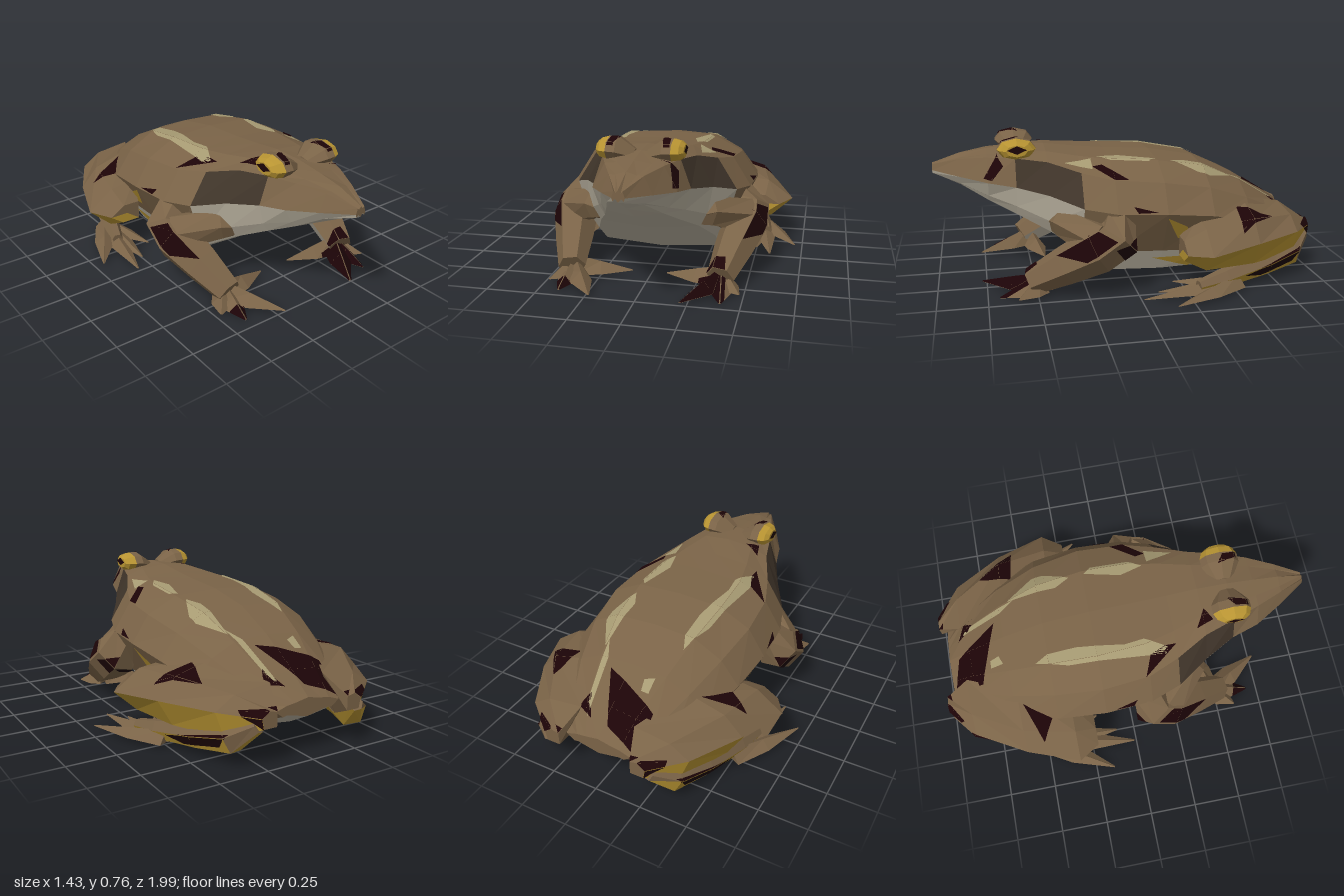
import * as THREE from 'three';

const flat = (name, color) => Object.assign(new THREE.MeshStandardMaterial({ color }), { name });
const MATS = [
  flat('skinBrown', 0x7a6347), flat('shadeBrown', 0x40352a), flat('spotMaroon', 0x1c0407),
  flat('legYellow', 0xb89432), flat('stripeTan', 0xa69a72), flat('bellyGrey', 0xb8b09e),
];
const [BROWN, SHADE, SPOT, YELLOW, TAN, GREY] = [0, 1, 2, 3, 4, 5];
const V = (x, y, z) => new THREE.Vector3(x, y, z);
const normalOf = ([a, b, c]) => b.clone().sub(a).cross(c.clone().sub(a)).normalize();

// Skin a row of equal rings and cap both ends; colour(i, j, normal) picks the material
function loft(rings, colour) {
  const tris = [], n = rings[0].length;
  const add = (a, b, c, i, j) => tris.push({ p: [a, b, c], i, j });
  for (let i = 0; i < rings.length - 1; i++) {
    for (let j = 0; j < n; j++) {
      const k = (j + 1) % n, A = rings[i], B = rings[i + 1];
      add(A[j], A[k], B[j], i, j);
      add(A[k], B[k], B[j], i, j);
    }
  }
  [0, rings.length - 1].forEach((r) => {
    const mid = rings[r].reduce((s, p) => s.add(p), V(0, 0, 0)).divideScalar(n);
    for (let j = 0; j < n; j++) {
      const k = (j + 1) % n, R = rings[r];
      r ? add(R[j], R[k], mid, r, j) : add(R[k], R[j], mid, 0, j);
    }
  });
  // turn the skin outwards
  const volume = tris.reduce((s, t) => s + t.p[0].dot(t.p[1].clone().cross(t.p[2])), 0);
  tris.forEach((t) => {
    if (volume < 0) t.p.reverse();
    t.m = colour(t.i, t.j, normalOf(t.p));
  });
  return tris;
}

// Tapered limb along [x, y, z, radius] stations
function limb(side, path, sides, colour) {
  const pts = path.map((p) => V(p[0] * side, p[1], p[2]));
  return loft(pts.map((c, i) => {
    const t = pts[Math.min(i + 1, pts.length - 1)].clone().sub(pts[Math.max(i - 1, 0)]).normalize();
    const b = V(1, 0, 0).addScaledVector(t, -t.x).normalize(), n = t.clone().cross(b);
    return Array.from({ length: sides }, (_, j) => {
      const a = (j / sides) * Math.PI * 2, r = path[i][3];
      return c.clone().addScaledVector(b, Math.cos(a) * r).addScaledVector(n, Math.sin(a) * r);
    });
  }), colour);
}

// Pointed toes fanning from a wrist or ankle
function toes(side, base, tips, width, height, sole) {
  return tips.flatMap((tip) => {
    const b = V(base[0] * side, base[1], base[2]), e = V(tip[0] * side, tip[1], tip[2]);
    const d = e.clone().sub(b).setY(0).normalize(), across = V(d.z, 0, -d.x);
    const ring = (c, w, h) => [
      c.clone().addScaledVector(across, w), c.clone().add(V(0, h, 0)), c.clone().addScaledVector(across, -w)];
    const rings = [ring(b, width, height), ring(b.clone().lerp(e, 0.45), width, height * 0.6), ring(e, 0.004, 0.004)];
    return loft(rings, (i, j, n) => (n.y < -0.2 ? sole : BROWN));
  });
}

// Thin painted patch: the part's faces clipped to a convex outline.
// axis 'y' uses (x, z) seen from above; axis 'x' uses (z, y) seen from the given side.
function patch(tris, axis, sign, outline, m) {
  const dir = axis === 'y' ? V(0, 1, 0) : V(sign, 0, 0);
  const uv = axis === 'y' ? (p) => [p.x, p.z] : (p) => [p.z, p.y];
  const n = outline.length;
  const area = outline.reduce((s, a, i) => {
    const b = outline[(i + 1) % n];
    return s + a[0] * b[1] - a[1] * b[0];
  }, 0);
  const loop = area < 0 ? [...outline].reverse() : outline;
  const out = [];
  tris.forEach((t) => {
    const normal = normalOf(t.p);
    if (!(normal.dot(dir) > 0.04)) return;
    let poly = t.p;
    loop.forEach((a, i) => {
      const b = loop[(i + 1) % n], next = [];
      const dist = (p) => {
        const [u, v] = uv(p);
        return (b[0] - a[0]) * (v - a[1]) - (b[1] - a[1]) * (u - a[0]);
      };
      poly.forEach((p, k) => {
        const q = poly[(k + 1) % poly.length], dp = dist(p), dq = dist(q);
        if (dp >= 0) next.push(p);
        if (dp * dq < 0) next.push(p.clone().lerp(q, dp / (dp - dq)));
      });
      poly = next;
    });
    const up = poly.map((p) => p.clone().addScaledVector(normal, 0.004));
    for (let k = 1; k < up.length - 1; k++) out.push({ p: [up[0], up[k], up[k + 1]], m });
  });
  return out;
}

function mesh(name, tris) {
  const geo = new THREE.BufferGeometry(), used = [...new Set(tris.map((t) => t.m))], pos = [];
  used.forEach((m, i) => {
    const start = pos.length / 3;
    tris.filter((t) => t.m === m).forEach((t) => t.p.forEach((p) => pos.push(p.x, p.y, p.z)));
    geo.addGroup(start, pos.length / 3 - start, i);
  });
  geo.setAttribute('position', new THREE.Float32BufferAttribute(pos, 3));
  geo.computeVertexNormals();
  const part = new THREE.Mesh(geo, used.map((m) => MATS[m]));
  part.name = name;
  return part;
}

// Body stations: z, top, shoulder x y, side x y, low x y, bottom
const BODY = [
  [1.0, 0.625, 0.02, 0.62, 0.03, 0.59, 0.025, 0.575, 0.57],
  [0.86, 0.67, 0.08, 0.655, 0.12, 0.57, 0.09, 0.53, 0.5],
  [0.72, 0.69, 0.14, 0.67, 0.2, 0.55, 0.16, 0.475, 0.42],
  [0.58, 0.705, 0.19, 0.67, 0.24, 0.53, 0.215, 0.425, 0.35],
  [0.42, 0.705, 0.24, 0.655, 0.32, 0.5, 0.295, 0.36, 0.27],
  [0.26, 0.685, 0.32, 0.61, 0.42, 0.45, 0.365, 0.27, 0.17],
  [0.1, 0.67, 0.38, 0.58, 0.475, 0.43, 0.37, 0.2, 0.06],
  [-0.15, 0.655, 0.4, 0.56, 0.49, 0.42, 0.37, 0.19, 0.05],
  [-0.4, 0.61, 0.37, 0.515, 0.465, 0.39, 0.36, 0.18, 0.055],
  [-0.62, 0.51, 0.31, 0.435, 0.4, 0.33, 0.33, 0.18, 0.08],
  [-0.82, 0.385, 0.23, 0.34, 0.31, 0.27, 0.25, 0.18, 0.13],
  [-0.95, 0.29, 0.12, 0.27, 0.18, 0.25, 0.14, 0.22, 0.2],
];
const STRIPES = [
  [[-0.2, -0.47], [-0.17, -0.4], [-0.17, -0.25], [-0.21, 0], [-0.27, -0.05], [-0.25, -0.3]],
  [[-0.27, -0.05], [-0.21, 0], [-0.2, 0.1], [-0.26, 0.22], [-0.29, 0.2]],
  [[0.19, -0.57], [0.28, -0.42], [0.28, -0.36], [0.22, -0.22], [0.18, -0.3]],
  [[0.22, -0.14], [0.25, -0.1], [0.24, 0.1], [0.2, 0.17], [0.17, 0.05]],
  [[0.1, -0.88], [0.14, -0.8], [0.19, -0.53], [0.14, -0.62]],
  [[0.22, 0.2], [0.3, 0.2], [0.25, 0.34]],
  [[-0.14, -0.71], [-0.1, -0.71], [-0.09, -0.66], [-0.14, -0.64]],
];
const BACK_SPOTS = [
  [[-0.2, -0.94], [-0.02, -0.89], [0.1, -0.66], [-0.2, -0.77]],
  [[0.08, -0.88], [0.17, -0.84], [0.14, -0.78]],
  [[-0.38, 0.08], [-0.28, 0.12], [-0.25, 0.2], [-0.25, 0.26]],
  [[0.38, 0.03], [0.38, 0.1], [0.28, 0.2], [0.27, 0.15]],
  [[-0.2, 0.38], [-0.11, 0.43], [-0.17, 0.47]],
];
const CHEEK_SPOT = [[0.74, 0.57], [0.67, 0.68], [0.64, 0.63], [0.7, 0.56]];
const FLANK_SPOT = [[0.02, 0.46], [-0.1, 0.43], [0, 0.43]];
const GROIN = [
  [[-0.15, 0.4], [-0.26, 0.34], [-0.28, 0.26], [-0.22, 0.27]],
  [[-0.1, 0.15], [-0.42, 0.15], [-0.3, 0.08]],
];

export function createModel() {
  const frog = new THREE.Group();
  frog.name = 'frog';

  // Head and trunk
  const body = loft(BODY.map(([z, top, sx, sy, wx, wy, lx, ly, bot]) => {
    const half = [[0, top], [sx * 0.6, top - 0.014], [sx, sy], [wx, wy], [lx, ly], [lx * 0.86, bot + 0.025], [0, bot]];
    return [...half, ...half.slice(1, 6).reverse().map(([x, y]) => [-x, y])].map(([x, y]) => V(x, y, z));
  }), (i, j, n) => {
    const row = j < 6 ? j : 11 - j;
    if (Math.abs(n.z) > 0.99) return BROWN;
    if (row > 3 || (row === 3 && i < 5)) return GREY;
    return row === 2 && i > 2 && i < 5 ? SHADE : BROWN;
  });
  frog.add(mesh('body', body));
  frog.add(mesh('backStripes', STRIPES.flatMap((o) => patch(body, 'y', 1, o, TAN))));
  frog.add(mesh('backSpots', BACK_SPOTS.flatMap((o) => patch(body, 'y', 1, o, SPOT))));
  frog.add(mesh('cheekSpot', patch(body, 'x', 1, CHEEK_SPOT, SPOT)));

  [1, -1].forEach((s) => {
    const side = s > 0 ? 'left' : 'right';
    const add = (name, tris) => frog.add(mesh(side + name, tris));
    add('FlankMarks', [
      ...patch(body, 'x', s, FLANK_SPOT, SPOT),
      ...GROIN.flatMap((o) => patch(body, 'x', s, o, YELLOW)),
    ]);

    // Bulging eye: lid sloping into the brow, iris and pupil. Stations: x, y, radius
    const eye = loft([[0.03, 0.68, 0.05], [0.11, 0.709, 0.1], [0.155, 0.711, 0.1], [0.19, 0.71, 0.085], [0.21, 0.71, 0.055]]
      .map(([x, y, r]) => Array.from({ length: 8 }, (_, j) => {
        const a = (j / 8) * Math.PI * 2;
        return V(x * s, y + Math.sin(a) * r * 0.55, 0.57 + Math.cos(a) * r);
      })), (i) => (i < 2 ? BROWN : YELLOW));
    add('Eye', eye);
    add('Pupil', patch(eye, 'x', s, [[0.62, 0.716], [0.57, 0.738], [0.52, 0.716], [0.57, 0.694]], SPOT));
    add('LidSpot', patch(eye, 'y', 1, [[0.1 * s, 0.55], [0.145 * s, 0.58], [0.15 * s, 0.65], [0.12 * s, 0.65]], SPOT));

    // Front leg, its root across the chest, and the hand
    const arm = limb(s, [[0.4, 0.4, 0.08, 0.08], [0.46, 0.3, 0.11, 0.12], [0.46, 0.25, 0.2, 0.12],
      [0.42, 0.165, 0.36, 0.1], [0.38, 0.075, 0.53, 0.07]], 6,
    (i, j, n) => (n.x * s < -0.2 && n.z < 0.1 ? GREY : BROWN));
    const hand = toes(s, [0.38, 0.025, 0.48],
      [[0.09, 0.03, 0.42], [0.22, 0.03, 0.77], [0.4, 0.006, 0.69], [0.48, 0.02, 0.6]], 0.055, 0.09, GREY);
    const handSpot = s > 0
      ? [[0.2, 0.8], [0.27, 0.5], [0.4, 0.5], [0.42, 0.72]]
      : [[-0.36, 0.62], [-0.44, 0.6], [-0.44, 0.7], [-0.36, 0.72]];
    add('FrontLeg', arm);
    add('ChestMuscle', limb(s, [[0.15, 0.335, 0.44, 0.025], [0.29, 0.36, 0.35, 0.085], [0.46, 0.29, 0.19, 0.1]], 6, () => BROWN));
    add('Hand', hand);
    add('FrontLegSpots', [
      ...patch(arm, 'x', s, [[0.43, 0.24], [0.28, 0.4], [0.12, 0.32], [0.27, 0.22]], SPOT),
      ...patch(arm, 'x', s, [[0.13, 0.28], [-0.04, 0.32], [-0.02, 0.18], [0.05, 0.17]], SPOT),
      ...patch(hand, 'y', 1, handSpot, SPOT),
      ...patch(arm, 'y', 1, handSpot, SPOT),
    ]);

    // Folded thigh: inner top, outer top, ridge, lower edge, inner bottom
    const thigh = loft([
      [-0.22, 0.44, 0.29, 0.53, 0.29, 0.61, 0.24, 0.54, 0.19, 0.44, 0.19],
      [-0.33, 0.4, 0.37, 0.54, 0.35, 0.68, 0.25, 0.56, 0.14, 0.42, 0.14],
      [-0.6, 0.28, 0.43, 0.49, 0.37, 0.585, 0.27, 0.51, 0.14, 0.36, 0.13],
      [-0.86, 0.15, 0.36, 0.34, 0.335, 0.44, 0.27, 0.39, 0.14, 0.24, 0.14],
      [-0.99, 0.2, 0.27, 0.24, 0.28, 0.28, 0.25, 0.27, 0.2, 0.2, 0.2],
    ].map(([z, ...q]) => [0, 2, 4, 6, 8].map((k) => V(q[k] * s, q[k + 1], z))),
    (i, j) => (i < 4 && (j === 2 || j === 3) ? YELLOW : BROWN));
    add('Thigh', thigh);
    add('ThighSpots', [
      ...patch(thigh, 'y', 1, s > 0
        ? [[0.42, -0.72], [0.56, -0.52], [0.37, -0.54]]
        : [[-0.56, -0.5], [-0.32, -0.59], [-0.42, -0.42]], SPOT),
      ...patch(thigh, 'x', s, [[-0.91, 0.28], [-1, 0.29], [-1, 0.19]], SPOT),
    ]);

    // Shin folded under the thigh, with a long webbed foot
    const under = (i, j, n) => (n.y < -0.2 ? YELLOW : BROWN);
    const shin = limb(s, [[0.28, 0.21, -0.96, 0.035], [0.34, 0.14, -0.85, 0.085], [0.42, 0.11, -0.68, 0.07],
      [0.5, 0.07, -0.45, 0.05], [0.54, 0.05, -0.3, 0.03]], 6, under);
    add('Shin', shin);
    add('ShinSpot', patch(shin, 'x', s, [[-0.55, 0.08], [-0.9, 0.17], [-0.85, 0.1], [-0.65, 0.06]], SPOT));
    add('HindFoot', toes(s, [0.5, 0.025, -0.52],
      [[0.71, 0.025, -0.15], [0.58, 0.015, -0.01], [0.5, 0.015, -0.1], [0.4, 0.025, -0.2]], 0.055, 0.06, YELLOW));
  });
  return frog;
}
